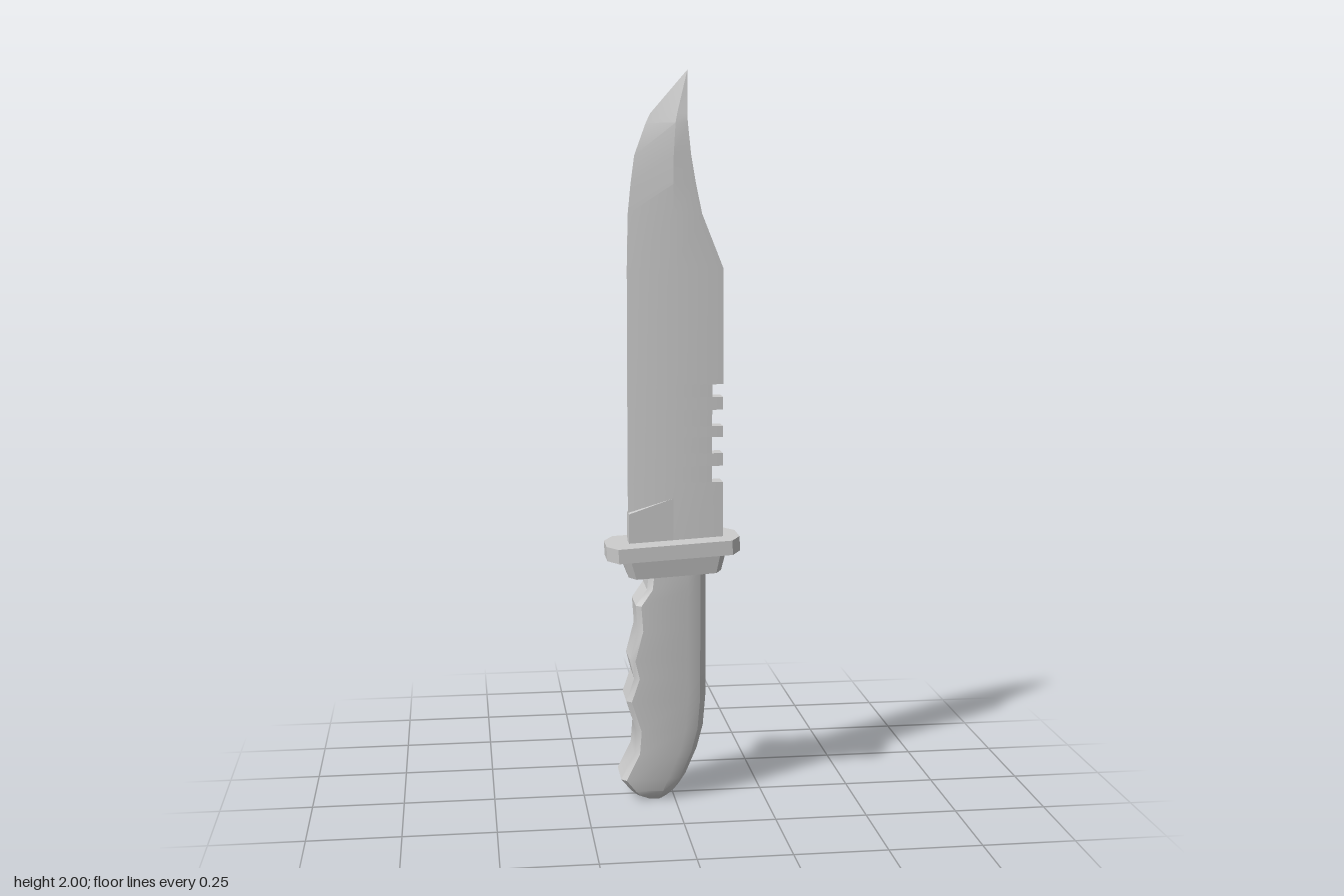
import * as THREE from 'three';
import { toCreasedNormals } from 'three/addons/utils/BufferGeometryUtils.js';

const material = new THREE.MeshStandardMaterial({ color: 0xcccccc });

// Front half of a cross-section (x, z from left to right), mirrored to a closed ring
const ring = (half) => [...half, ...half.map(([x, z]) => [x, -z]).reverse()];

// Skin a stack of { y, pts } sections, rising in y, with both ends capped
function loft(name, sections, crease) {
  const pos = [];
  const a = new THREE.Vector3(), b = new THREE.Vector3();
  const tri = (p, q, r) => {
    a.subVectors(q, p);
    b.subVectors(r, p);
    if (a.cross(b).length() < 1e-8) return; // drop empty triangles
    for (const v of [p, q, r]) pos.push(v.x, v.y, v.z);
  };
  const rows = sections.map((s) => s.pts.map(([x, z]) => new THREE.Vector3(x, s.y, z)));
  const n = rows[0].length;
  for (let i = 0; i < rows.length - 1; i++) {
    for (let j = 0; j < n; j++) {
      const k = (j + 1) % n;
      tri(rows[i][j], rows[i][k], rows[i + 1][k]);
      tri(rows[i][j], rows[i + 1][k], rows[i + 1][j]);
    }
  }
  const bottom = rows[0], top = rows[rows.length - 1];
  for (let j = 1; j < n - 1; j++) {
    tri(bottom[0], bottom[j + 1], bottom[j]);
    tri(top[0], top[j], top[j + 1]);
  }
  let geo = new THREE.BufferGeometry();
  geo.setAttribute('position', new THREE.Float32BufferAttribute(pos, 3));
  geo = toCreasedNormals(geo, crease);
  const mesh = new THREE.Mesh(geo, material);
  mesh.name = name;
  return mesh;
}

// Blade: ground bevel on the left, flat spine on the right, saw notches low on the spine
function blade() {
  const T = 0.026;
  const rows = [[0.7, -0.122, 0, 0.138, T]]; // y, edge x, bevel x, spine x, half thickness
  for (const [low, high] of [[0.89, 0.935], [0.97, 1.015], [1.045, 1.09], [1.125, 1.16]]) {
    for (const [y, spine] of [[low, 0.136], [low, 0.106], [high, 0.106], [high, 0.136]]) {
      rows.push([y, -0.124, 0, spine, T]);
    }
  }
  rows.push(
    [1.475, -0.124, 0, 0.135, T],
    [1.62, -0.121, 0, 0.077, T],
    [1.7, -0.113, 0, 0.06, T],
    [1.775, -0.103, 0, 0.047, T],
    [1.86, -0.072, 0.005, 0.038, 0.025],
    [1.885, -0.06, 0.01, 0.037, 0.02],
    [2, 0.04, 0.04, 0.04, 0],
  );
  const sections = rows.map(([y, edge, bevel, spine, t]) => ({
    y, pts: ring([[edge, Math.min(t, 0.002)], [bevel, t], [spine, t]]),
  }));
  return loft('blade', sections, 0.2);
}

// Full-thickness heel below the bevel, with a sloping top
function bladeHeel() {
  const shape = new THREE.Shape([[-0.123, 0.7], [0, 0.7], [0, 0.847], [-0.123, 0.805]]
    .map(([x, y]) => new THREE.Vector2(x, y)));
  const geo = new THREE.ExtrudeGeometry(shape, { depth: 0.052, bevelEnabled: false });
  geo.translate(0, 0, -0.026);
  const mesh = new THREE.Mesh(geo, material);
  mesh.name = 'bladeHeel';
  return mesh;
}

// Guard: chamfered plate over a tapered collar, slightly tilted
function guard() {
  const octagon = (w, d, cx, cz) => ring([[-w, d - cz], [-w + cx, d], [w - cx, d], [w, d - cz]]);
  const group = new THREE.Group();
  group.name = 'guard';
  const plate = octagon(0.184, 0.092, 0.028, 0.05);
  group.add(loft('guardPlate', [{ y: -0.02, pts: plate }, { y: 0.02, pts: plate }], 0.2));
  group.add(loft('guardCollar', [
    { y: -0.071, pts: octagon(0.128, 0.074, 0.018, 0.034) },
    { y: -0.02, pts: octagon(0.144, 0.082, 0.022, 0.04) },
  ], 0.2));
  group.position.set(-0.002, 0.71, 0);
  group.rotation.z = 0.056;
  return group;
}

// Handle: finger grooves on the left, rounded back, curling in at the butt
function handle() {
  const rows = [ // y, left x, right x, depth scale
    [0, -0.075, -0.03, 0.75],
    [0.012, -0.105, -0.008, 0.87],
    [0.027, -0.122, 0.012, 0.95],
    [0.06, -0.15, 0.034, 1],
    [0.135, -0.113, 0.066, 1],
    [0.2, -0.108, 0.083, 1],
    [0.285, -0.135, 0.09, 1],
    [0.35, -0.113, 0.09, 1],
    [0.4, -0.125, 0.09, 1],
    [0.485, -0.103, 0.09, 1],
    [0.555, -0.108, 0.09, 1],
    [0.6, -0.077, 0.09, 1],
    [0.66, -0.07, 0.09, 1],
  ];
  const sections = rows.map(([y, l, r, s]) => {
    const k = Math.min(1, (r - l) / 0.16);
    const half = [[l, 0.052], [l + 0.014 * k, 0.066], [r - 0.055 * k, 0.07], [r - 0.02 * k, 0.058], [r, 0.02], [r + 0.001, 0]];
    return { y, pts: ring(half.map(([x, z]) => [x, z * s])) };
  });
  return loft('handle', sections, 0.45);
}

export function createModel() {
  const model = new THREE.Group();
  model.name = 'knife';
  model.add(blade(), bladeHeel(), guard(), handle());
  return model;
}
